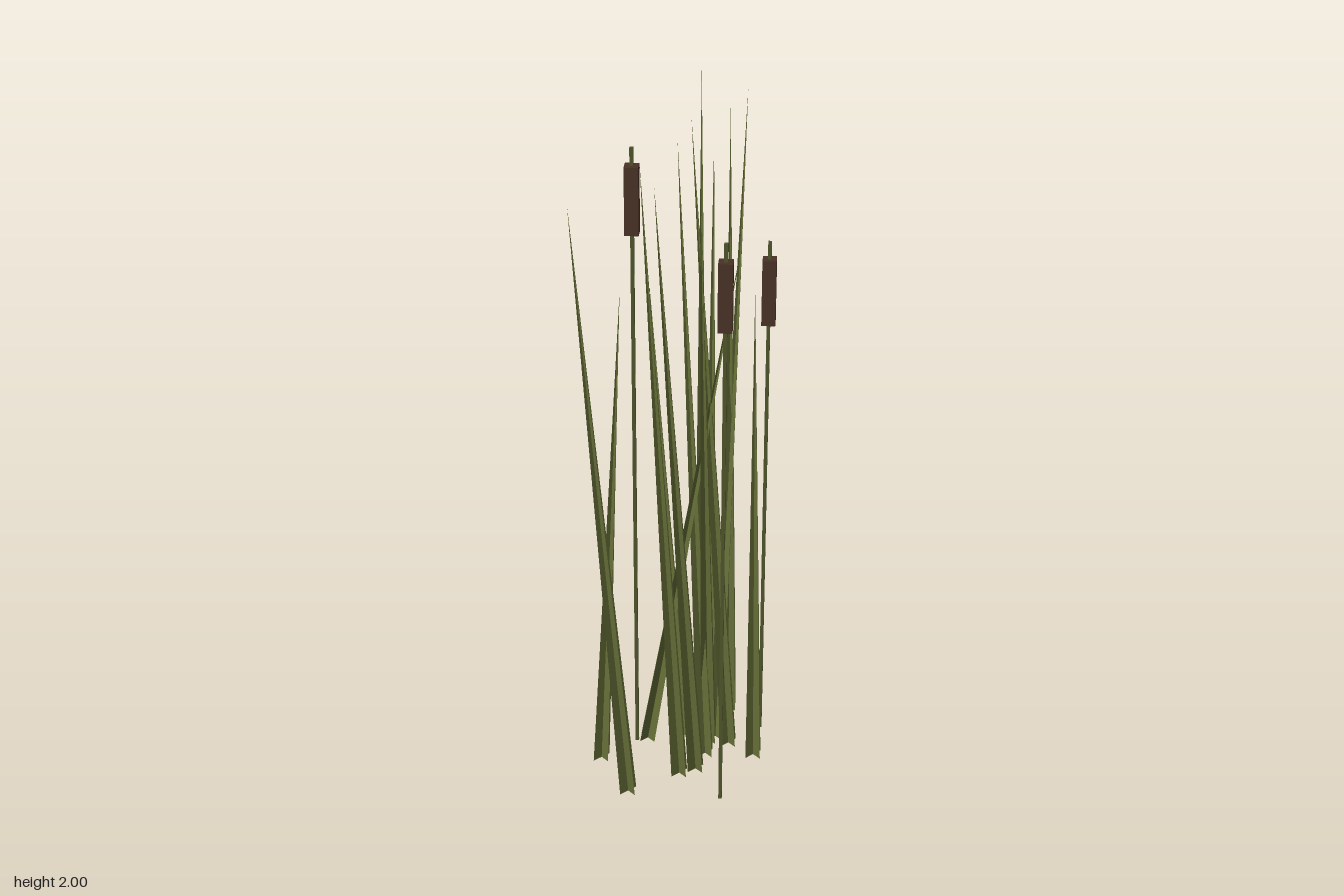
import * as THREE from 'three';

const leafMat = new THREE.MeshStandardMaterial({ color: 0x666f38, side: THREE.DoubleSide, flatShading: true });
const stemMat = new THREE.MeshStandardMaterial({ color: 0x4f552b, flatShading: true });
const headMat = new THREE.MeshStandardMaterial({ color: 0x4a3226, flatShading: true });

// Leaf: two crossed triangles that share one leaning tip
function leaf([bx, bz, tx, tz, h]) {
  const r = 0.03, tip = [tx - bx, h, tz - bz];
  const geo = new THREE.BufferGeometry();
  geo.setAttribute('position', new THREE.Float32BufferAttribute([
    -r, 0, 0, r, 0, 0, ...tip,
    0, 0, r, 0, 0, -r, ...tip,
  ], 3));
  geo.computeVertexNormals();
  const mesh = new THREE.Mesh(geo, leafMat);
  mesh.position.set(bx, 0, bz);
  mesh.name = 'leaf';
  return mesh;
}

// Cattail: square stalk with a thicker seed head below its top
function cattail([x, z, h]) {
  const group = new THREE.Group();
  group.name = 'cattail';
  const stalk = new THREE.Mesh(new THREE.CylinderGeometry(0.007, 0.007, h, 4), stemMat);
  stalk.position.y = h / 2;
  stalk.name = 'stalk';
  const head = new THREE.Mesh(new THREE.CylinderGeometry(0.027, 0.027, 0.19, 4), headMat);
  head.position.y = h - 0.145;
  head.name = 'seedHead';
  group.add(stalk, head);
  group.position.set(x, 0, z);
  return group;
}

export function createModel() {
  const model = new THREE.Group();
  model.name = 'reeds';

  // base x, base z, tip x, tip z, height
  const leaves = [
    [-0.215, 0.03, -0.38, 0.025, 1.84],
    [-0.17, -0.148, -0.113, -0.105, 1.49],
    [-0.047, 0.06, -0.198, 0.085, 1.92],
    [0.003, 0.075, -0.253, 0.206, 1.91],
    [0.127, -0.01, -0.086, 0.186, 1.84],
    [-0.003, -0.135, 0.11, 0.122, 1.62],
    [0.09, -0.088, 0.113, -0.254, 1.4],
    [0.075, 0.035, 0.075, -0.09, 1.87],
    [0.155, -0.01, 0.376, -0.15, 1.93],
    [0.162, 0.04, 0.01, 0.04, 1.98],
    [0.178, 0.132, 0.163, 0.122, 1.48],
    [0.197, -0.123, 0.243, -0.188, 2.0],
    [0.228, -0.123, 0.28, -0.178, 1.79],
    [0.288, -0.1, 0.253, -0.083, 1.92],
  ];
  leaves.forEach((l) => model.add(leaf(l)));

  // x, z, height
  const cattails = [[-0.033, -0.148, 1.86], [0.29, 0.04, 1.57], [-0.036, 0.227, 1.71]];
  cattails.forEach((c) => model.add(cattail(c)));

  return model;
}
